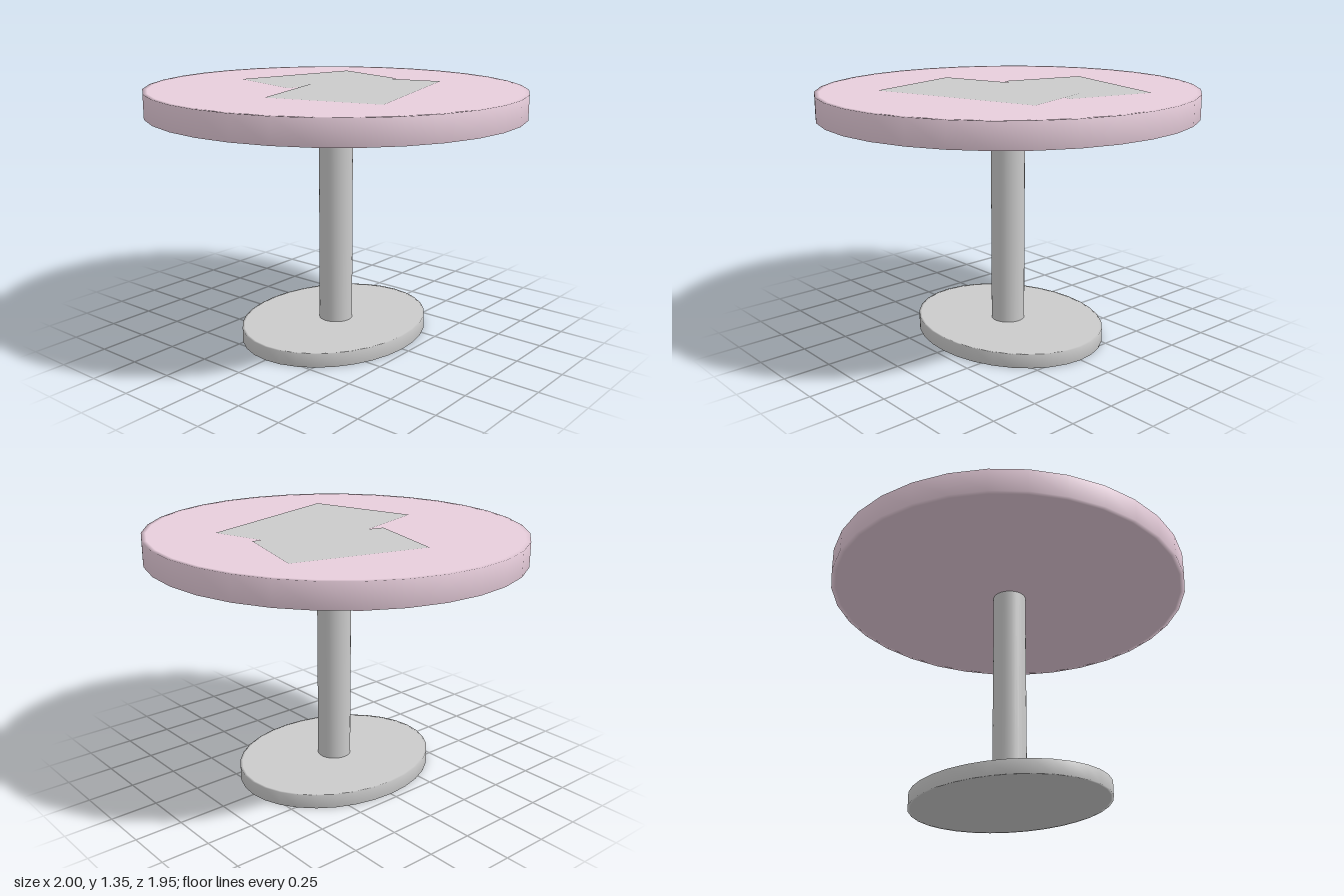
import * as THREE from 'three';

const TOP_Y = 1.342;
const grey = new THREE.MeshStandardMaterial({ color: 0xcccccc });
const pink = new THREE.MeshStandardMaterial({ color: 0xe8cedc });
const paper = new THREE.MeshStandardMaterial({ color: 0xcccccc, side: THREE.DoubleSide });

// Elliptical slab with a softly shaded rim; narrow border loops keep the faces flat
function slab(name, rx, rz, y0, y1, material) {
  const profile = [[0, y0], [0.975, y0], [1, y0], [1, y1], [0.975, y1], [0, y1]]
    .map(([r, y]) => new THREE.Vector2(r, y));
  const geometry = new THREE.LatheGeometry(profile, 32).scale(rx, 1, rz);
  const mesh = new THREE.Mesh(geometry, material);
  mesh.name = name;
  return mesh;
}

// Flat rectangular sheet lying on the tabletop, given by its centre, size and turn
function sheet(name, x, z, width, depth, turn, lift) {
  const geometry = new THREE.PlaneGeometry(width, depth).rotateX(-Math.PI / 2);
  const mesh = new THREE.Mesh(geometry, paper);
  mesh.name = name;
  mesh.position.set(x, TOP_Y + lift, z);
  mesh.rotation.y = turn;
  return mesh;
}

export function createModel() {
  const table = new THREE.Group();
  table.name = 'pedestalTable';

  // Oval foot, central column and round top
  table.add(slab('base', 0.46, 0.56, 0, 0.073, grey));
  const column = new THREE.Mesh(new THREE.CylinderGeometry(0.09, 0.09, 1.18, 32), grey);
  column.name = 'column';
  column.position.set(0.007, 0.645, 0);
  table.add(column);
  table.add(slab('tabletop', 1, 0.975, 1.215, TOP_Y, pink));

  // Two overlapping sheets
  table.add(sheet('leftSheet', 0.152, 0, 0.602, 0.92, 0.3, 0.003));
  table.add(sheet('rightSheet', -0.278, -0.204, 0.471, 0.717, -0.265, 0.002));
  return table;
}
